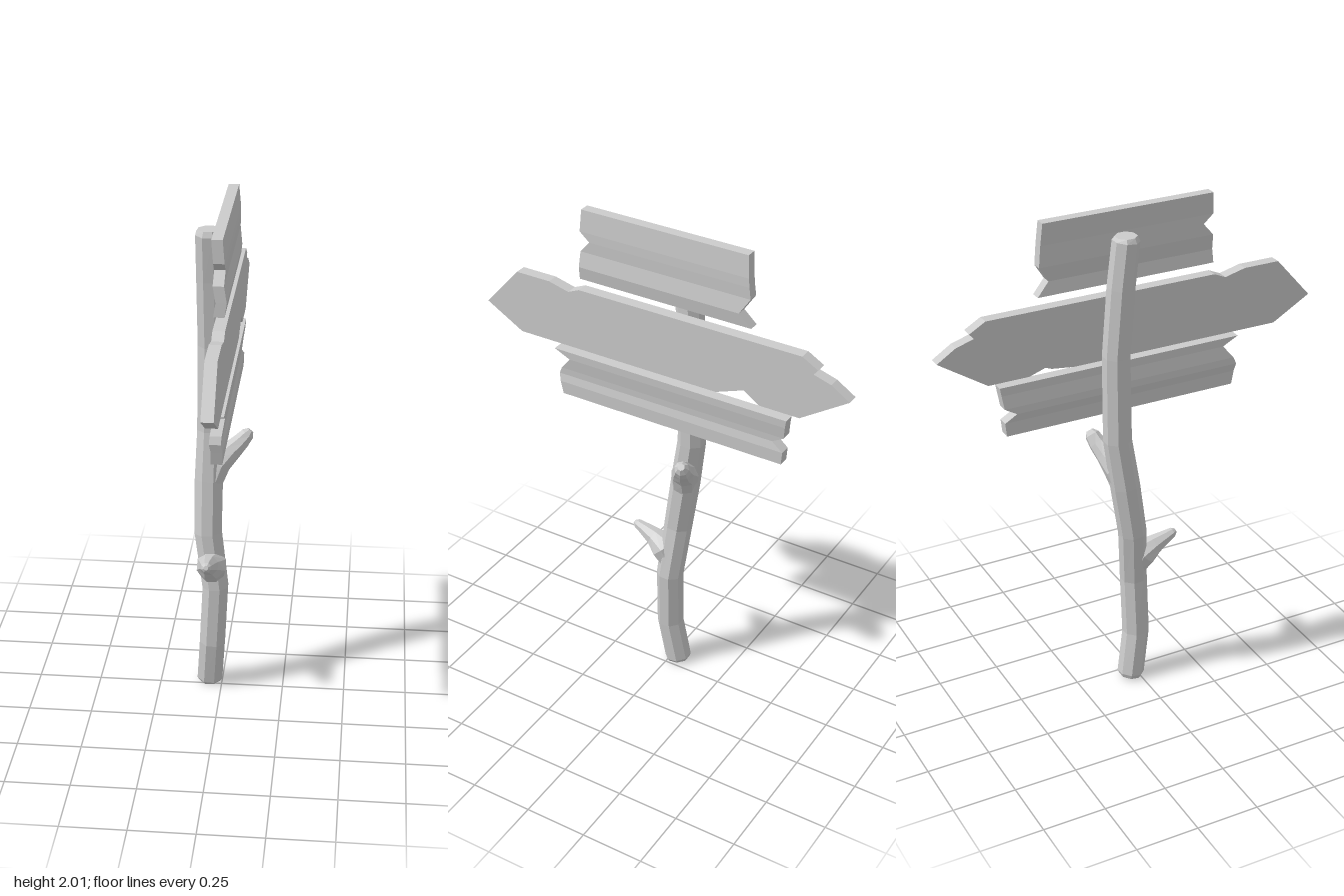
import * as THREE from 'three';

const material = new THREE.MeshStandardMaterial({ color: 0xcccccc, flatShading: true });

// Closed skin over cross-section loops (each counter-clockwise about the travel direction)
function loft(loops) {
  const n = loops[0].length, pos = [], index = [];
  loops.forEach(loop => loop.forEach(p => pos.push(p.x, p.y, p.z)));
  for (let i = 0; i < loops.length - 1; i++) {
    for (let j = 0; j < n; j++) {
      const k = (j + 1) % n, a = i * n + j, b = i * n + k;
      index.push(a, b, b + n, a, b + n, a + n);
    }
  }
  const last = (loops.length - 1) * n;
  for (let j = 1; j < n - 1; j++) {
    index.push(0, j + 1, j);
    index.push(last, last + j, last + j + 1);
  }
  const geo = new THREE.BufferGeometry();
  geo.setAttribute('position', new THREE.Float32BufferAttribute(pos, 3));
  geo.setIndex(index);
  geo.computeVertexNormals();
  return geo;
}

// Faceted limb along stations [x, y, z, radius]
function limb(stations, sides = 8) {
  const pts = stations.map(s => new THREE.Vector3(s[0], s[1], s[2]));
  return loft(pts.map((p, i) => {
    const t = pts[Math.min(i + 1, pts.length - 1)].clone().sub(pts[Math.max(i - 1, 0)]).normalize();
    const u = new THREE.Vector3(1, 0, 0).addScaledVector(t, -t.x).normalize();
    const v = t.clone().cross(u);
    return Array.from({ length: sides }, (_, j) => {
      const a = (j + 0.5) / sides * Math.PI * 2, r = stations[i][3];
      return p.clone().addScaledVector(u, Math.cos(a) * r).addScaledVector(v, Math.sin(a) * r);
    });
  }));
}

// Worn plank from rows [y, front z, back z, x of its inner face], bottom to top
function plank(rows, thick = 0.04) {
  return loft(rows.map(([y, zf, zb, x]) => [
    new THREE.Vector3(x, y, zf), new THREE.Vector3(x + thick, y, zf),
    new THREE.Vector3(x + thick, y, zb), new THREE.Vector3(x, y, zb),
  ]));
}

// Double-pointed board with chipped edges
function arrowBoard(thick = 0.045) {
  const outline = [
    [-0.775, 1.508], [-0.62, 1.418], [0.24, 1.418], [0.33, 1.452], [0.355, 1.462], [0.42, 1.418],
    [0.583, 1.418], [0.775, 1.545], [0.7, 1.593], [0.63, 1.614], [0.647, 1.635], [0.583, 1.672],
    [-0.35, 1.672], [-0.398, 1.651], [-0.483, 1.672], [-0.63, 1.672],
  ].map(p => new THREE.Vector2(...p));
  const geo = new THREE.ExtrudeGeometry(new THREE.Shape(outline), { depth: thick, bevelEnabled: false });
  // slant the lower notch: shallower on the post side
  const pos = geo.attributes.position;
  for (let i = 0; i < pos.count; i++) {
    const y = pos.getY(i);
    if (pos.getZ(i) < 0.01 && y > 1.44 && y < 1.47) pos.setY(i, y - 0.022);
  }
  geo.rotateY(Math.PI / 2);
  geo.computeVertexNormals();
  return geo;
}

export function createModel() {
  const group = new THREE.Group();
  const add = (name, geo) => {
    const mesh = new THREE.Mesh(geo, material);
    mesh.name = name;
    group.add(mesh);
  };

  // crooked trunk with chamfered ends
  add('post', limb([
    [-0.05, 0, -0.033, 0.046], [-0.05, 0.015, -0.031, 0.054], [-0.037, 0.2, -0.002, 0.054],
    [-0.025, 0.45, -0.006, 0.054], [-0.055, 0.68, -0.026, 0.056], [-0.055, 0.9, -0.058, 0.058],
    [-0.05, 1.1, -0.087, 0.055], [-0.048, 1.45, -0.09, 0.053], [-0.05, 1.72, -0.07, 0.053],
    [-0.052, 1.9, -0.05, 0.052], [-0.052, 1.917, -0.05, 0.042],
  ]));

  // broken-off twigs flaring out of the trunk
  add('lowerTwig', limb([
    [-0.035, 0.5, -0.005, 0.045], [-0.038, 0.56, 0.025, 0.062], [-0.044, 0.587, 0.08, 0.04],
    [-0.045, 0.608, 0.13, 0.027], [-0.045, 0.62, 0.16, 0.02], [-0.045, 0.625, 0.172, 0.009],
  ]));
  add('upperTwig', limb([
    [-0.05, 0.88, -0.055, 0.05], [-0.02, 0.96, -0.075, 0.054], [0.03, 1.005, -0.098, 0.042],
    [0.065, 1.037, -0.115, 0.035], [0.09, 1.065, -0.125, 0.029], [0.102, 1.08, -0.13, 0.014],
  ]));

  // three sign boards on the post's left side
  add('topBoard', plank([
    [1.72, 0.345, -0.377, 0.002], [1.772, 0.343, -0.33, 0.01], [1.833, 0.34, -0.37, 0],
    [1.88, 0.3, -0.365, 0.002], [1.915, 0.34, -0.362, 0.002], [2, 0.335, -0.355, -0.005],
  ]));
  add('middleBoard', arrowBoard());
  add('bottomBoard', plank([
    [1.195, 0.437, -0.517, 0], [1.248, 0.448, -0.522, 0.002], [1.28, 0.455, -0.475, -0.004],
    [1.308, 0.443, -0.523, -0.002], [1.36, 0.4, -0.53, 0.006], [1.392, 0.465, -0.535, 0.008],
  ], 0.043));

  return group;
}
